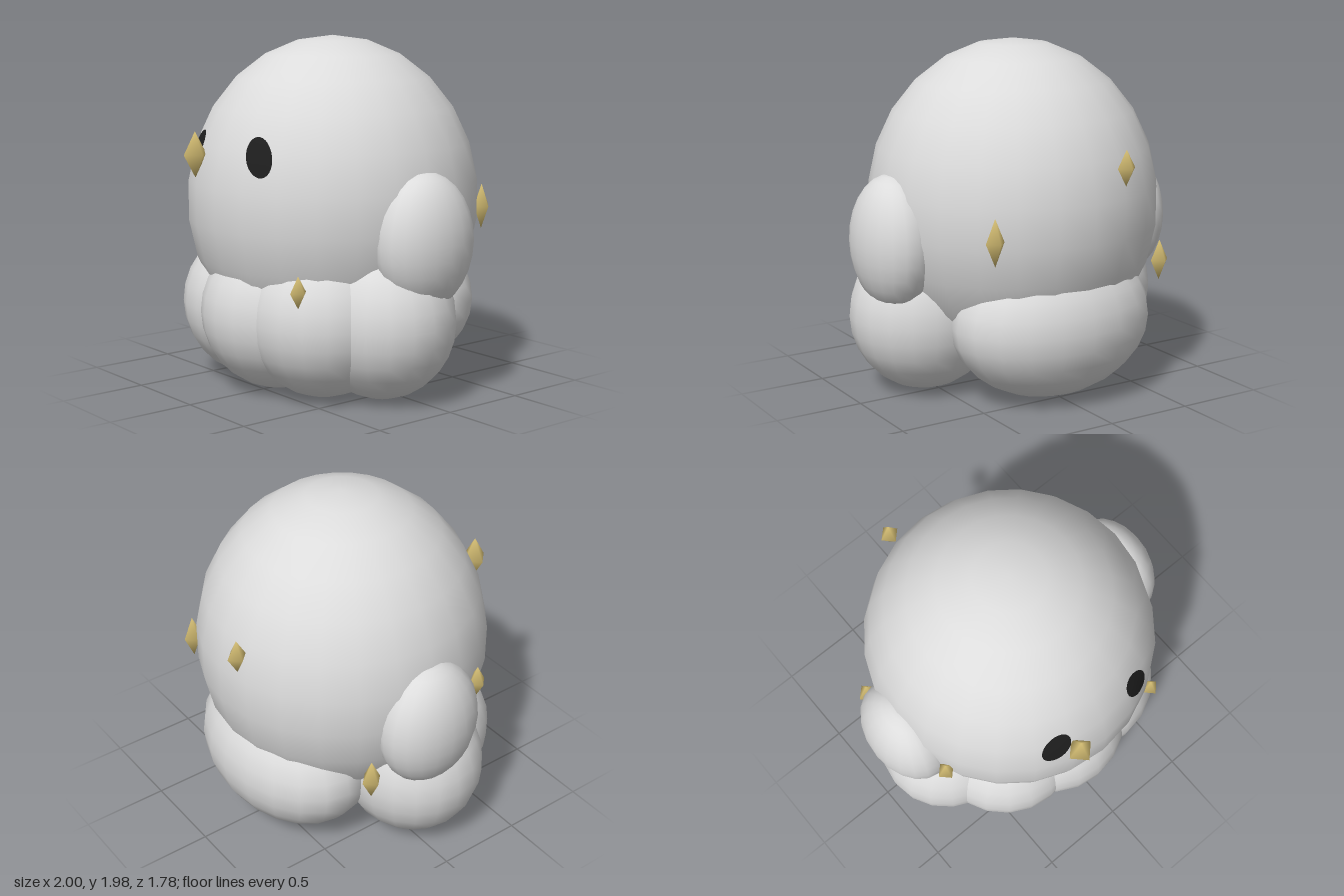
import * as THREE from 'three';

const bodyGrey = new THREE.MeshStandardMaterial({ color: 0xdcdcdc });
const eyeBlack = new THREE.MeshStandardMaterial({ color: 0x1e1e1e });
const gemGold = new THREE.MeshStandardMaterial({ color: 0xd6bf74 });
bodyGrey.name = 'bodyGrey';
eyeBlack.name = 'eyeBlack';
gemGold.name = 'gemGold';

const HEAD = { c: [0, 1.055, -0.005], r: [0.835, 0.93, 0.835] };

// Smooth ellipsoid with centre c and radii r
function blob(name, c, r, material = bodyGrey, w = 20, h = 14) {
  const mesh = new THREE.Mesh(new THREE.SphereGeometry(1, w, h), material);
  mesh.name = name;
  mesh.position.set(...c);
  mesh.scale.set(...r);
  return mesh;
}

// Tilted oval whose vertices are laid onto the head surface
function eye(side) {
  const g = new THREE.RingGeometry(0.0001, 1, 28, 4);
  g.scale(0.07, 0.115, 1);
  g.rotateZ(side * Math.PI / 6);
  g.translate(side * 0.285, 1.365, 0);
  const p = g.attributes.position;
  for (let i = 0; i < p.count; i++) {
    const u = (p.getX(i) - HEAD.c[0]) / HEAD.r[0];
    const v = (p.getY(i) - HEAD.c[1]) / HEAD.r[1];
    p.setZ(i, HEAD.c[2] + HEAD.r[2] * Math.sqrt(1 - u * u - v * v) + 0.006);
  }
  g.computeVertexNormals();
  const mesh = new THREE.Mesh(g, eyeBlack);
  mesh.name = side > 0 ? 'leftEye' : 'rightEye';
  return mesh;
}

export function createModel() {
  const model = new THREE.Group();
  model.name = 'roundCreature';

  // Head and the wide rear cushion
  model.add(blob('head', HEAD.c, HEAD.r, bodyGrey, 24, 13));
  model.add(blob('rearLobe', [0, 0.45, -0.405], [0.61, 0.445, 0.432]));

  // Ring of front lobes, side nubs and eyes
  model.add(blob('frontLobe', [0, 0.447, 0.39], [0.44, 0.442, 0.44]));
  for (const side of [1, -1]) {
    const label = side > 0 ? 'left' : 'right';
    model.add(blob(label + 'InnerLobe', [side * 0.3, 0.447, 0.305], [0.442, 0.445, 0.442]));
    model.add(blob(label + 'OuterLobe', [side * 0.535, 0.447, 0.09], [0.437, 0.445, 0.405]));
    model.add(blob(label + 'Nub', [side * 0.78, 0.9, 0], [0.22, 0.38, 0.31]));
    model.add(eye(side));
  }

  // Four-sided gems scattered around: x, y, z, half width, half height
  const gems = [
    [-0.19, 1.345, 0.815, 0.075, 0.128],
    [-0.19, 1.35, -0.837, 0.057, 0.1],
    [0.535, 1.0, -0.68, 0.057, 0.13],
    [0.53, 0.668, 0.663, 0.053, 0.088],
    [-0.768, 0.997, 0.36, 0.053, 0.097],
    [-0.78, 0.67, -0.385, 0.06, 0.12],
  ];
  for (const [x, y, z, w, h] of gems) {
    model.add(blob('gem', [x, y, z], [w, h, w], gemGold, 4, 2));
  }
  return model;
}
